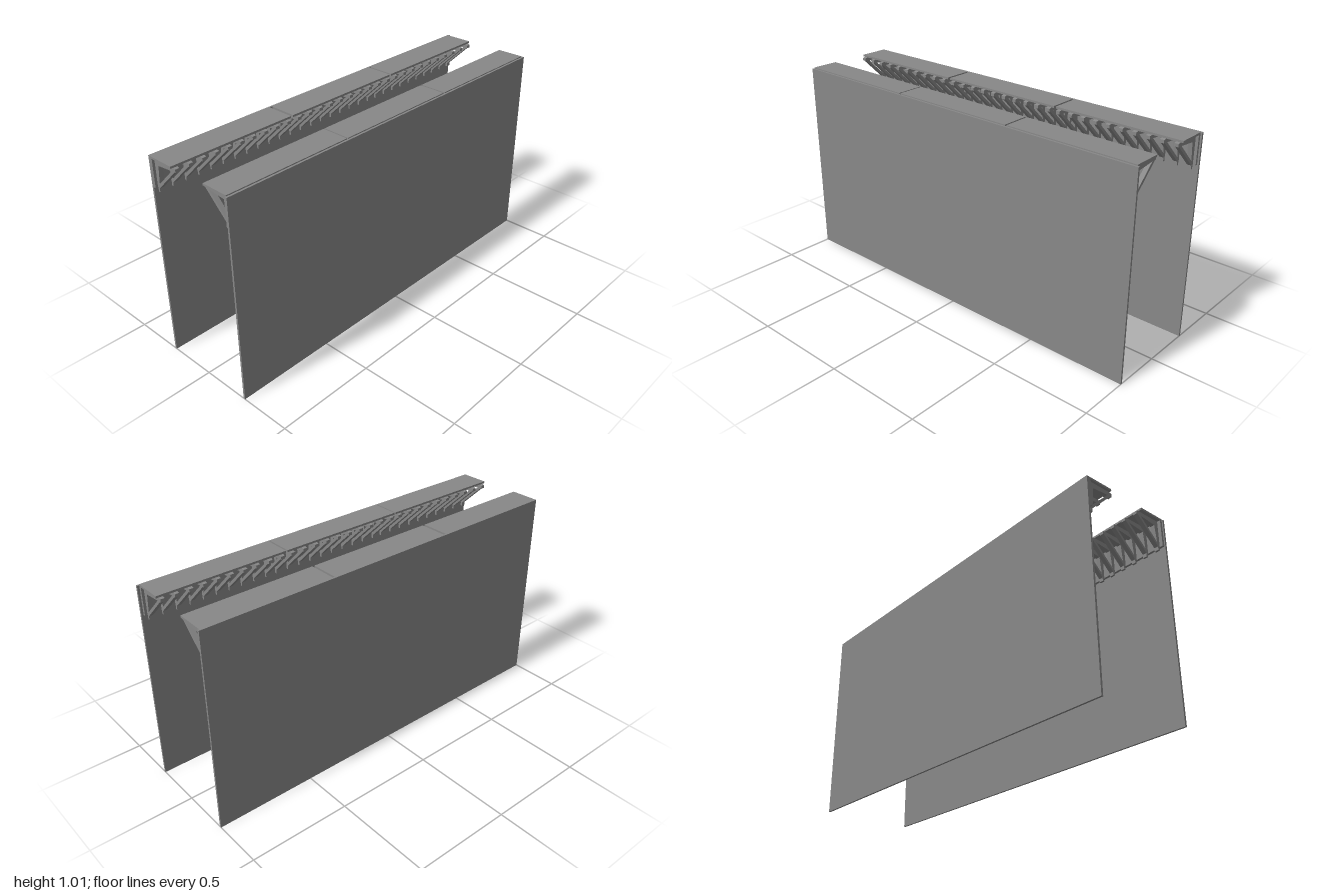
import * as THREE from 'three';

const material = new THREE.MeshStandardMaterial({ color: 0x888888 });

// Box given by its minimum and maximum corners
function box(name, [x0, y0, z0], [x1, y1, z1]) {
  const geometry = new THREE.BoxGeometry(x1 - x0, y1 - y0, z1 - z0);
  geometry.translate((x0 + x1) / 2, (y0 + y1) / 2, (z0 + z1) / 2);
  const mesh = new THREE.Mesh(geometry, material);
  mesh.name = name;
  return mesh;
}

// Side profile of a bracket: post, tapered arm and diagonal brace around an open triangle.
// Points are (distance from the middle of the aisle, height).
function bracketGeometry(width) {
  const points = (list) => list.map(([d, y]) => new THREE.Vector2(-d, y));
  const shape = new THREE.Shape(points([
    [0.227, 1.003], [0.227, 0.867], [0.225, 0.867], [0.225, 0.847], [0.215, 0.847],
    [0.215, 0.865], [0.092, 0.985], [0.086, 0.985], [0.086, 1.0], [0.1, 1.003],
  ]));
  shape.holes.push(new THREE.Path(points([[0.203, 0.975], [0.112, 0.984], [0.211, 0.887]])));
  const geometry = new THREE.ExtrudeGeometry(shape, { depth: width, bevelEnabled: false });
  geometry.translate(0, 0, -width / 2);
  geometry.rotateY(Math.PI / 2); // profile distance now runs along +z, width along x
  return geometry;
}

const bracket = bracketGeometry(0.021);

// One wall with three shelf sections, each carried by ten brackets
function buildSide(name, { wallTop, sections, firstBracket }) {
  const side = new THREE.Group();
  side.name = name;
  side.add(box('wall', [-1, 0, 0.239], [1, wallTop, 0.249]));
  sections.forEach(([x0, x1]) => {
    const section = new THREE.Group();
    section.name = 'shelfSection';
    section.add(box('shelfTop', [x0, 1.003, 0.1], [x1, 1.013, 0.239]));
    section.add(box('mountingPlate', [x0, 0.866, 0.227], [x1, 1.003, 0.239]));
    for (let i = 0; i < 10; i++) {
      const mesh = new THREE.Mesh(bracket, material);
      mesh.name = 'bracket';
      mesh.position.x = x0 + firstBracket + i * 0.0675;
      section.add(mesh);
    }
    side.add(section);
  });
  return side;
}

export function createModel() {
  const model = new THREE.Group();
  model.name = 'shelvedWalls';
  const front = buildSide('frontSide', {
    wallTop: 1.008, firstBracket: 0.027,
    sections: [[-0.995, -0.34], [-0.333, 0.324], [0.333, 0.99]],
  });
  // The back side is turned half round, so its sections are listed from the far end
  const back = buildSide('backSide', {
    wallTop: 1.013, firstBracket: 0.024,
    sections: [[-0.992, -0.338], [-0.327, 0.332], [0.346, 1.0]],
  });
  back.rotation.y = Math.PI;
  model.add(front, back);
  return model;
}
